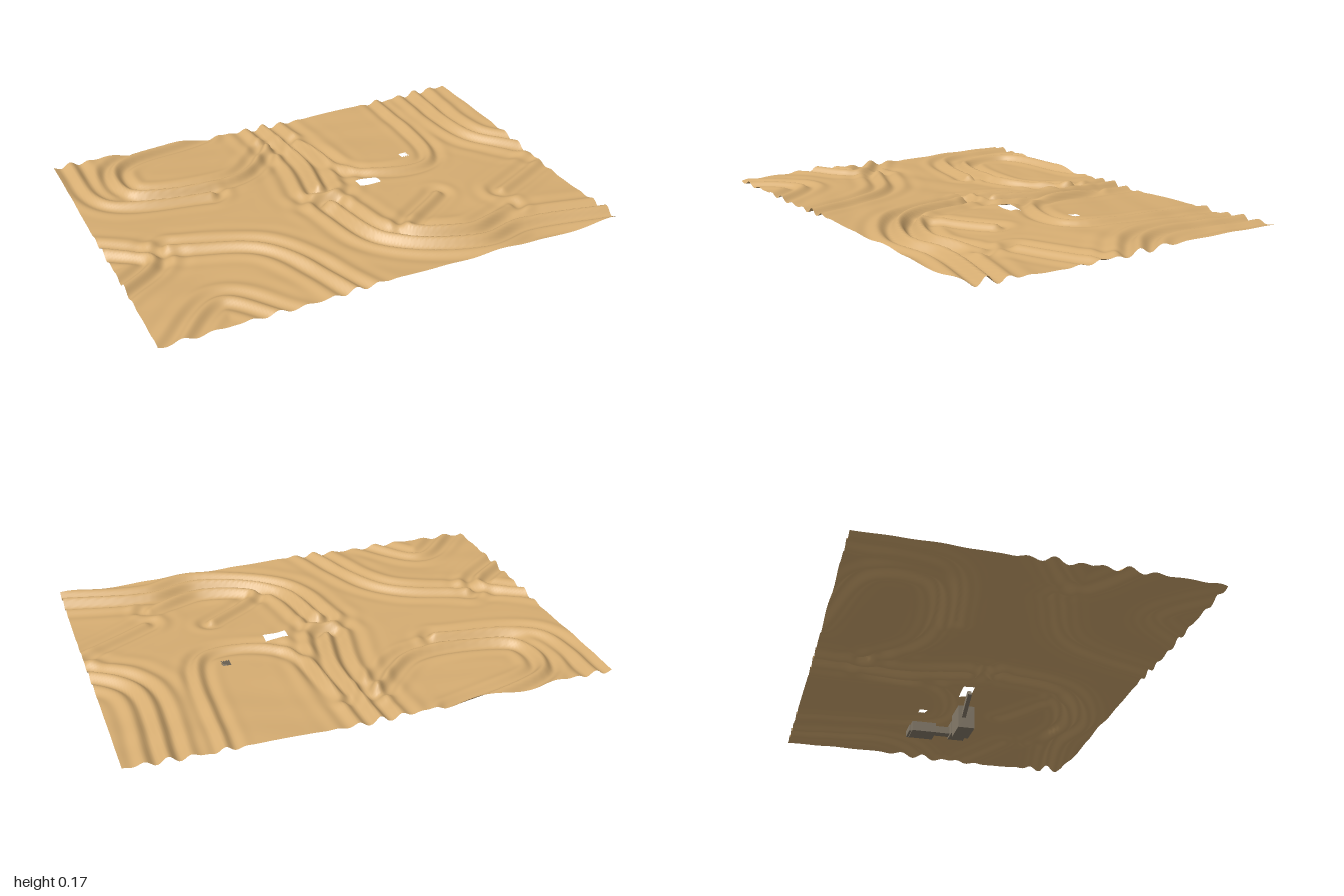
import * as THREE from 'three';

const sand = new THREE.MeshStandardMaterial({ color: 0xd6ad72, side: THREE.DoubleSide });
const concrete = new THREE.MeshStandardMaterial({ color: 0x8a7f6e });
sand.name = 'sand';
concrete.name = 'concrete';

// Bands of parallel dunes: height, half width, then the centre line as [x, z] points
const bands = [
  [0.02, 0.13, [0, -0.78], [0.03, -0.3], [-0.01, -0.05]],
  [0.02, 0.11, [-0.03, 0.1], [0.06, 0.42], [0.4, 0.6], [0.62, 0.56], [1.05, 0.64]],
  [0.014, 0.07, [0.42, 0.22], [0.18, 0.41], [0.4, 0.5], [0.65, 0.43]],
  [0.018, 0.08, [-0.3, -0.74], [-0.75, -0.6], [-0.75, -0.37], [-0.3, -0.3], [-0.06, -0.5]],
  [0.014, 0.08, [-0.93, -0.75], [-0.87, -0.32], [-0.45, -0.2]],
  [0.016, 0.09, [-1.05, 0], [-0.84, 0.18], [-1.05, 0.36]],
  [0.014, 0.1, [-0.75, 0.12], [-0.4, 0.29], [-0.2, 0.75]],
  [0.015, 0.06, [0.08, -0.5], [0.2, -0.11], [0.53, -0.05], [0.62, -0.75]],
  [0.016, 0.12, [0.83, -0.75], [0.84, -0.2], [1.05, 0.02]],
  [0.011, 0.1, [0.7, 0.3], [1.05, 0.12]],
  [0.012, 0.1, [-0.95, 0.75], [-0.7, 0.54], [-0.5, 0.75]],
].map(([height, width, ...path]) => ({
  height, width,
  line: new THREE.CatmullRomCurve3(path.map(([x, z]) => new THREE.Vector3(x, 0, z))).getPoints(40),
}));

// Shortest distance from (x, z) to a sampled line
function distanceTo(line, x, z) {
  let best = Infinity;
  for (let i = 0; i < line.length - 1; i++) {
    const a = line[i], dx = line[i + 1].x - a.x, dz = line[i + 1].z - a.z;
    const t = Math.min(1, Math.max(0, ((x - a.x) * dx + (z - a.z) * dz) / (dx * dx + dz * dz)));
    best = Math.min(best, (x - a.x - t * dx) ** 2 + (z - a.z - t * dz) ** 2);
  }
  return Math.sqrt(best);
}

function duneHeight(x, z) {
  // broad swells, then the dune bands
  let h = 0.139 + 0.006 * Math.sin(3.1 * x + 1.5 * Math.sin(2.7 * z)) + 0.005 * Math.cos(5.2 * z + 1.8 * x)
    + 0.003 * Math.sin(11 * x + 4 * Math.sin(6 * z)) * Math.cos(9 * z);
  for (const { height, width, line } of bands) {
    const d = distanceTo(line, x, z);
    h += height * Math.exp(-((d / width) ** 2)) * Math.cos((2 * Math.PI * d) / 0.09);
  }
  // keep crests and hollows within the sand layer
  return 0.143 + 0.038 * Math.tanh((h - 0.143) / 0.038);
}

// Openings in the sand: stairway and air shaft [x0, x1, z0, z1]
const openings = [[0.15, 0.25, -0.02, 0.03], [0.44, 0.475, -0.16, -0.125]];

function makeDunes() {
  const geo = new THREE.PlaneGeometry(2, 1.42, 200, 142).rotateX(-Math.PI / 2);
  const pos = geo.attributes.position;
  for (let i = 0; i < pos.count; i++) pos.setY(i, duneHeight(pos.getX(i), pos.getZ(i)));
  geo.computeVertexNormals();
  // drop the triangles that lie over an opening
  const index = geo.index.array, kept = [];
  for (let i = 0; i < index.length; i += 3) {
    const tri = [index[i], index[i + 1], index[i + 2]];
    const x = tri.reduce((s, v) => s + pos.getX(v), 0) / 3;
    const z = tri.reduce((s, v) => s + pos.getZ(v), 0) / 3;
    if (!openings.some(([x0, x1, z0, z1]) => x > x0 && x < x1 && z > z0 && z < z1)) kept.push(...tri);
  }
  geo.setIndex(kept);
  const mesh = new THREE.Mesh(geo, sand);
  mesh.name = 'dunes';
  return mesh;
}

// Box given by its limits on each axis
function block(name, [x0, x1], [y0, y1], [z0, z1]) {
  const mesh = new THREE.Mesh(new THREE.BoxGeometry(x1 - x0, y1 - y0, z1 - z0), concrete);
  mesh.position.set((x0 + x1) / 2, (y0 + y1) / 2, (z0 + z1) / 2);
  mesh.name = name;
  return mesh;
}

export function createModel() {
  const model = new THREE.Group();
  model.name = 'duneFieldWithBunker';
  model.add(makeDunes());

  // Buried rooms and the passages between them
  const bunker = new THREE.Group();
  bunker.name = 'bunker';
  bunker.add(
    block('mainRoom', [0.255, 0.378], [0, 0.105], [-0.02, 0.055]),
    block('eastPassage', [0.378, 0.392], [0.03, 0.075], [0, 0.035]),
    block('eastRoom', [0.392, 0.47], [0.025, 0.085], [-0.02, 0.053]),
    block('northPassage', [0.425, 0.465], [0.035, 0.067], [-0.1, -0.02]),
    block('northRoom', [0.4, 0.49], [0.025, 0.07], [-0.2, -0.09]),
    block('northAlcove', [0.42, 0.5], [0.03, 0.06], [-0.21, -0.12]),
    block('airShaft', [0.447, 0.47], [0.065, 0.09], [-0.155, -0.132]),
  );

  // Sloping stairway up to the surface
  const stairway = block('stairway', [0.135, 0.285], [0.073, 0.097], [-0.004, 0.014]);
  stairway.rotation.z = -Math.atan2(0.065, 0.12);
  bunker.add(stairway);

  model.add(bunker);
  return model;
}
